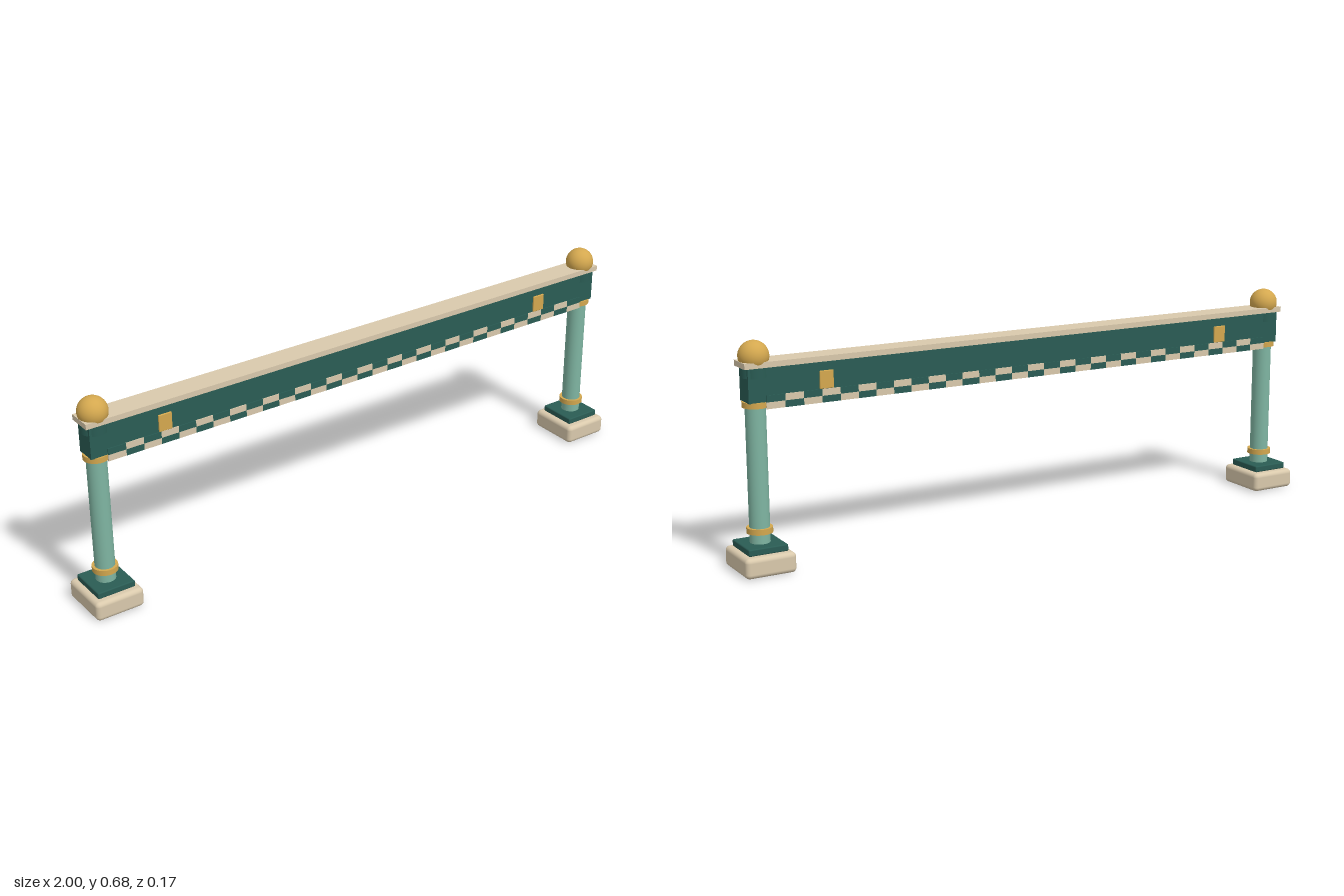
import * as THREE from 'three';
import { RoundedBoxGeometry } from 'three/addons/geometries/RoundedBoxGeometry.js';

const paint = (name, color) => {
  const m = new THREE.MeshStandardMaterial({ color });
  m.name = name;
  return m;
};

export function createModel() {
  const stone = paint('cream stone', 0xd9c9ac);
  const dark = paint('dark green', 0x2a5c54);
  const jade = paint('jade green', 0x7fb5a2);
  const gold = paint('gold', 0xd4a84f);

  const model = new THREE.Group();
  model.name = 'gateway';

  const add = (parent, name, geometry, material, x, y, z) => {
    const mesh = new THREE.Mesh(geometry, material);
    mesh.name = name;
    mesh.position.set(x, y, z);
    parent.add(mesh);
    return mesh;
  };
  // Upright cylinder given by its bottom and top heights
  const drum = (parent, name, r, y0, y1, material) =>
    add(parent, name, new THREE.CylinderGeometry(r, r, y1 - y0, 32), material, 0, (y0 + y1) / 2, 0);

  // Two matching posts, from footing to finial
  for (const side of [-1, 1]) {
    const post = new THREE.Group();
    post.name = side > 0 ? 'leftPost' : 'rightPost';
    post.position.x = side * 0.921;
    model.add(post);
    add(post, 'footing', new RoundedBoxGeometry(0.158, 0.062, 0.175, 4, 0.014), stone, 0, 0.031, 0);
    add(post, 'plinth', new RoundedBoxGeometry(0.123, 0.021, 0.131, 2, 0.004), dark, 0, 0.073, 0);
    drum(post, 'column', 0.0305, 0.08, 0.51, jade);
    drum(post, 'lowerRing', 0.039, 0.113, 0.13, gold);
    drum(post, 'upperRing', 0.039, 0.489, 0.506, gold);
    drum(post, 'capital', 0.041, 0.577, 0.607, dark);
    add(post, 'finial', new THREE.SphereGeometry(0.0455, 32, 20), gold, 0, 0.638, 0);
  }

  // Beam with its capping plank
  add(model, 'beam', new THREE.BoxGeometry(1.906, 0.103, 0.066), dark, 0, 0.5565, 0);
  add(model, 'cappingPlank', new THREE.BoxGeometry(1.93, 0.017, 0.08), stone, 0, 0.6155, 0);

  // Two-row checker frieze on both faces, its lower row hanging below the beam
  const count = 31, width = 1.8 / count, height = 0.02;
  const tile = new THREE.BoxGeometry(width, height, 0.004);
  const plate = new RoundedBoxGeometry(0.044, 0.054, 0.006, 2, 0.002);
  for (const face of [1, -1]) {
    const frieze = new THREE.Group();
    frieze.name = face > 0 ? 'frontFrieze' : 'backFrieze';
    model.add(frieze);
    for (let row = 0; row < 2; row++) {
      for (let i = 0; i < count; i++) {
        const light = (i + row) % 2 === 0;
        add(frieze, light ? 'lightTile' : 'darkTile', tile, light ? stone : dark,
          -0.9 + (i + 0.5) * width, 0.495 + row * height, face * 0.034);
      }
    }
    // Gold plates near the beam ends
    for (const side of [-1, 1]) add(model, 'goldPlate', plate, gold, side * 0.711, 0.553, face * 0.035);
  }
  return model;
}
